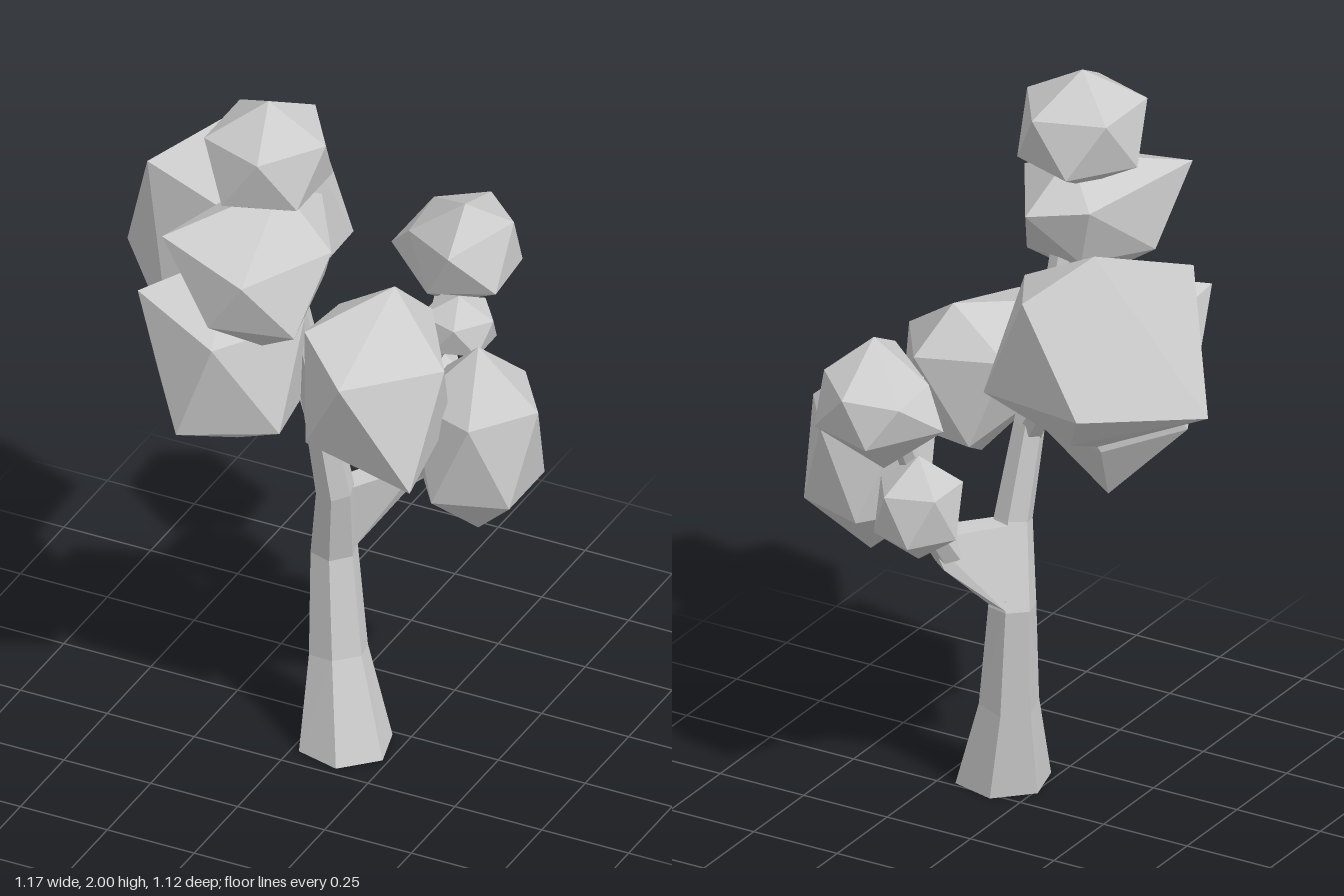
import * as THREE from 'three';
import { ConvexGeometry } from 'three/addons/geometries/ConvexGeometry.js';

const material = new THREE.MeshStandardMaterial({ color: 0xcccccc, flatShading: true });

// Faceted solid spanned by a few corner points
function addSolid(parent, name, points) {
  const mesh = new THREE.Mesh(new ConvexGeometry(points), material);
  mesh.name = name;
  parent.add(mesh);
}

const toVectors = (corners) => corners.map((c) => new THREE.Vector3(...c));

// Regular leaf clump: an upright icosahedron fitted to a box
function roundClump(min, max) {
  const points = [new THREE.Vector3(0, 1, 0), new THREE.Vector3(0, -1, 0)];
  for (let k = 0; k < 5; k++) {
    const a = (k * Math.PI * 2) / 5;
    const x = 0.894 * Math.cos(a), z = 0.894 * Math.sin(a);
    points.push(new THREE.Vector3(x, 0.447, z), new THREE.Vector3(-x, -0.447, -z));
  }
  const from = new THREE.Box3().setFromPoints(points);
  const size = from.getSize(new THREE.Vector3());
  const low = new THREE.Vector3(...min), high = new THREE.Vector3(...max);
  for (const p of points) p.sub(from.min).divide(size).multiply(high.clone().sub(low)).add(low);
  return points;
}

// Six-sided limb swept through stations [x, y, z, radius]
function limb(name, stations, levelStart = false) {
  const sides = 6, positions = [], index = [];
  const up = new THREE.Vector3(0, 1, 0);
  const at = (i) => new THREE.Vector3().fromArray(stations[i]);
  const last = stations.length - 1;
  stations.forEach((s, i) => {
    const dir = at(Math.min(i + 1, last)).sub(at(Math.max(i - 1, 0))).normalize();
    if (i === 0 && levelStart) dir.copy(up);
    const turn = new THREE.Quaternion().setFromUnitVectors(up, dir);
    for (let k = 0; k < sides; k++) {
      const a = (k * Math.PI * 2) / sides + Math.PI / 12;
      const p = new THREE.Vector3(Math.cos(a), 0, Math.sin(a)).multiplyScalar(s[3]);
      positions.push(...p.applyQuaternion(turn).add(at(i)).toArray());
    }
  });
  for (let i = 0; i < last; i++) {
    for (let k = 0; k < sides; k++) {
      const a = i * sides + k, b = i * sides + ((k + 1) % sides);
      index.push(a, a + sides, b, b, a + sides, b + sides);
    }
  }
  // End caps
  const top = last * sides;
  for (let k = 1; k < sides - 1; k++) index.push(0, k, k + 1, top, top + k + 1, top + k);
  const geometry = new THREE.BufferGeometry();
  geometry.setAttribute('position', new THREE.Float32BufferAttribute(positions, 3));
  geometry.setIndex(index);
  const flat = geometry.toNonIndexed();
  flat.computeVertexNormals();
  const mesh = new THREE.Mesh(flat, material);
  mesh.name = name;
  return mesh;
}

export function createModel() {
  const tree = new THREE.Group();
  tree.name = 'tree';

  // Trunk with flared foot, rising to the crown
  tree.add(limb('trunk', [
    [0.112, 0, 0.102, 0.127], [0.07, 0.25, 0.06, 0.08], [0.045, 0.54, 0.035, 0.064],
    [0.075, 0.76, 0.09, 0.052], [0.05, 1.02, 0.13, 0.043], [0.01, 1.4, 0.2, 0.032],
    [-0.02, 1.8, 0.25, 0.02],
  ], true));

  // Wedge where the side branch leaves the trunk
  addSolid(tree, 'branchFork', toVectors([
    [0.1, 0.55, 0.03], [0.09, 0.55, -0.01], [0.03, 0.55, -0.025],
    [0.115, 0.76, 0.07], [0.05, 0.76, 0.05],
    [0.19, 0.68, -0.1], [0.15, 0.68, -0.13], [0.23, 0.77, -0.09], [0.18, 0.77, -0.15],
  ]));

  // Side branches
  const branches = [
    ['rightBranch', [[0.17, 0.72, -0.09, 0.035], [0.23, 0.77, -0.1, 0.035], [0.36, 0.85, -0.07, 0.022]]],
    ['backBranch', [[0.16, 0.71, -0.09, 0.04], [0.17, 0.83, -0.18, 0.034], [0.19, 1.02, -0.23, 0.03], [0.19, 1.22, -0.34, 0.022]]],
    ['highBackTwig', [[0.19, 1.0, -0.22, 0.022], [0.29, 1.15, -0.17, 0.012]]],
    ['leftBranch', [[0.045, 1.0, 0.13, 0.035], [-0.06, 1.16, 0.06, 0.028], [-0.25, 1.35, -0.05, 0.018]]],
  ];
  for (const [name, stations] of branches) tree.add(limb(name, stations));

  // Regular leaf clumps: lowest and highest corner of their box
  const round = [
    ['topLeaves', [-0.2, 1.67, 0.085], [0.13, 2.0, 0.42]],
    ['rightLeaves', [0.24, 0.65, -0.225], [0.585, 1.2, 0.105]],
    ['lowBackLeaves', [0.04, 0.765, -0.37], [0.265, 1.06, -0.14]],
    ['smallBackLeaves', [0.2, 1.08, -0.265], [0.4, 1.26, -0.08]],
  ];
  for (const [name, min, max] of round) addSolid(tree, name, roundClump(min, max));

  // Irregular leaf clumps: top and bottom corner, then upper and lower ring
  const irregular = {
    upperLeaves: [
      [0, 1.75, 0.25], [0.01, 1.34, 0.38],
      [0.185, 1.645, 0.33], [0.04, 1.62, 0.56], [-0.215, 1.68, 0.505], [-0.13, 1.66, 0.13], [0.03, 1.635, 0.075],
      [-0.19, 1.48, 0.36], [-0.08, 1.49, 0.17], [0.1, 1.48, 0.2], [0.155, 1.46, 0.485], [-0.06, 1.47, 0.55],
    ],
    leftLeaves: [
      [-0.3, 1.69, -0.13], [-0.28, 1.12, -0.08],
      [-0.085, 1.58, -0.12], [-0.12, 1.52, 0.147], [-0.46, 1.61, 0.1], [-0.375, 1.32, -0.345], [-0.2, 1.61, -0.325],
      [-0.587, 1.26, -0.04], [-0.3, 1.2, -0.25], [-0.053, 1.3, -0.273], [-0.08, 1.25, 0.06], [-0.37, 1.14, 0.157],
    ],
    frontLeftLeaves: [
      [-0.17, 1.47, 0.2], [-0.18, 0.87, 0.14],
      [0.055, 1.34, 0.23], [-0.1, 1.33, 0.45], [-0.345, 1.41, 0.385], [-0.3, 1.33, 0.06], [-0.065, 1.3, -0.03],
      [-0.373, 1.07, 0.215], [-0.23, 1.05, 0.02], [0, 1.05, 0.09], [0.05, 1.07, 0.36], [-0.2, 1.05, 0.455],
    ],
    frontRightLeaves: [
      [0.21, 1.37, 0.015], [0.2, 0.9, 0.14],
      [0.405, 1.225, 0.12], [0.23, 1.26, 0.378], [0.065, 1.32, 0.245], [0.035, 1.25, -0.015], [0.26, 1.25, -0.1],
      [0.045, 1.08, 0.2], [0.13, 1, -0.04], [0.36, 1, 0], [0.39, 0.945, 0.29], [0.1, 1.03, 0.31],
    ],
    backLeaves: [
      [0.23, 1.42, -0.35], [0.17, 1.08, -0.4],
      [0.325, 1.34, -0.44], [0.255, 1.34, -0.2], [0.08, 1.31, -0.325], [0.065, 1.31, -0.5], [0.2, 1.33, -0.56],
      [0, 1.22, -0.385], [0.135, 1.2, -0.55], [0.325, 1.2, -0.49], [0.34, 1.2, -0.305], [0.18, 1.2, -0.23],
    ],
  };
  for (const [name, corners] of Object.entries(irregular)) addSolid(tree, name, toVectors(corners));

  return tree;
}
